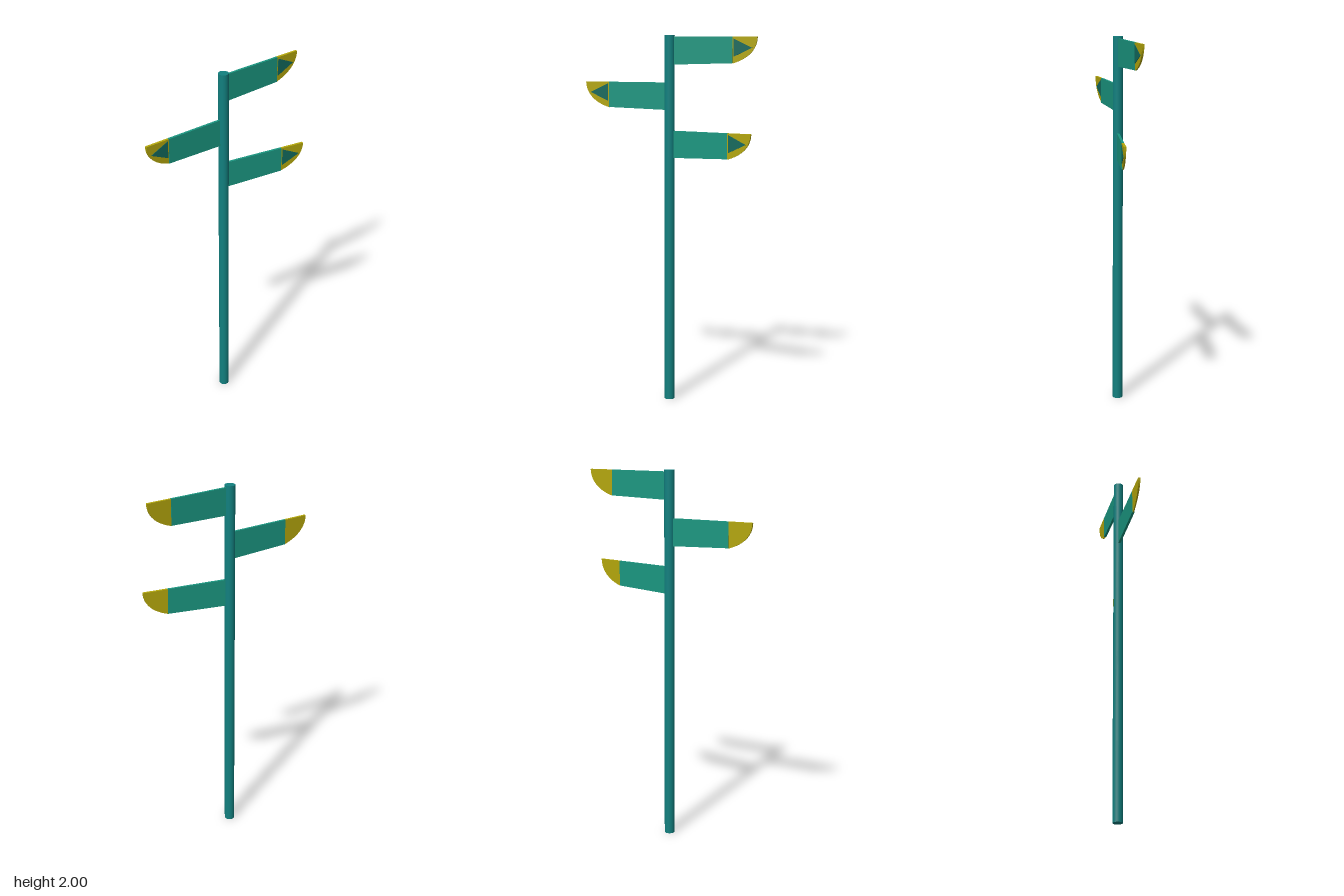
import * as THREE from 'three';

const mat = (color) => new THREE.MeshStandardMaterial({ color });
const postMat = mat(0x12807f);
const boardMat = mat(0x1a9680);
const tipMat = mat(0xb5a80c);
const arrowMat = mat(0x11695c);

const THICK = 0.013;

// Flat plate of the given thickness, centred on z = 0
function plate(name, shape, depth, material) {
  const geo = new THREE.ExtrudeGeometry(shape, { depth, bevelEnabled: false, curveSegments: 12 });
  geo.translate(0, 0, -depth / 2);
  const mesh = new THREE.Mesh(geo, material);
  mesh.name = name;
  return mesh;
}

// Pointing board whose top edge is y = 0; side is +1 (left) or -1 (right)
function sign(name, side, top, turn) {
  const group = new THREE.Group();
  group.name = name;

  // Board, slightly deeper at the post
  const board = new THREE.Shape();
  board.moveTo(0, 0);
  board.lineTo(side * 0.343, 0);
  board.lineTo(side * 0.343, -0.136);
  board.lineTo(0, -0.146);
  group.add(plate('board', board, THICK, boardMat));

  // Rounded tip, thinning towards its lower edge
  const end = new THREE.Shape();
  end.moveTo(side * 0.343, 0);
  end.lineTo(side * 0.475, 0);
  end.bezierCurveTo(side * 0.475, -0.07, side * 0.42, -0.115, side * 0.343, -0.138);
  const tip = plate('tip', end, THICK, tipMat);
  const pos = tip.geometry.attributes.position;
  for (let i = 0; i < pos.count; i++) {
    pos.setZ(i, pos.getZ(i) * (1 + 4 * pos.getY(i)));
  }
  tip.geometry.computeVertexNormals();
  group.add(tip);

  // Arrow on the front face
  const triangle = new THREE.Shape();
  triangle.moveTo(side * 0.349, -0.009);
  triangle.lineTo(side * 0.449, -0.056);
  triangle.lineTo(side * 0.349, -0.103);
  const arrow = plate('arrow', triangle, 0.007, arrowMat);
  arrow.position.z = 0.0038;
  group.add(arrow);

  group.position.set(0, top, 0);
  group.rotation.y = turn;
  return group;
}

export function createModel() {
  const model = new THREE.Group();
  model.name = 'signpost';

  const post = new THREE.Mesh(new THREE.CylinderGeometry(0.027, 0.027, 2, 32), postMat);
  post.name = 'post';
  post.position.y = 1;
  model.add(post);

  model.add(sign('topSign', 1, 1.99, 0));
  model.add(sign('middleSign', -1, 1.75, 0));
  model.add(sign('lowerSign', 1, 1.494, THREE.MathUtils.degToRad(-10.5)));

  // The turned sign reaches forward, so the post stands behind the centre
  model.position.set(-0.002, 0, -0.034);
  return model;
}
